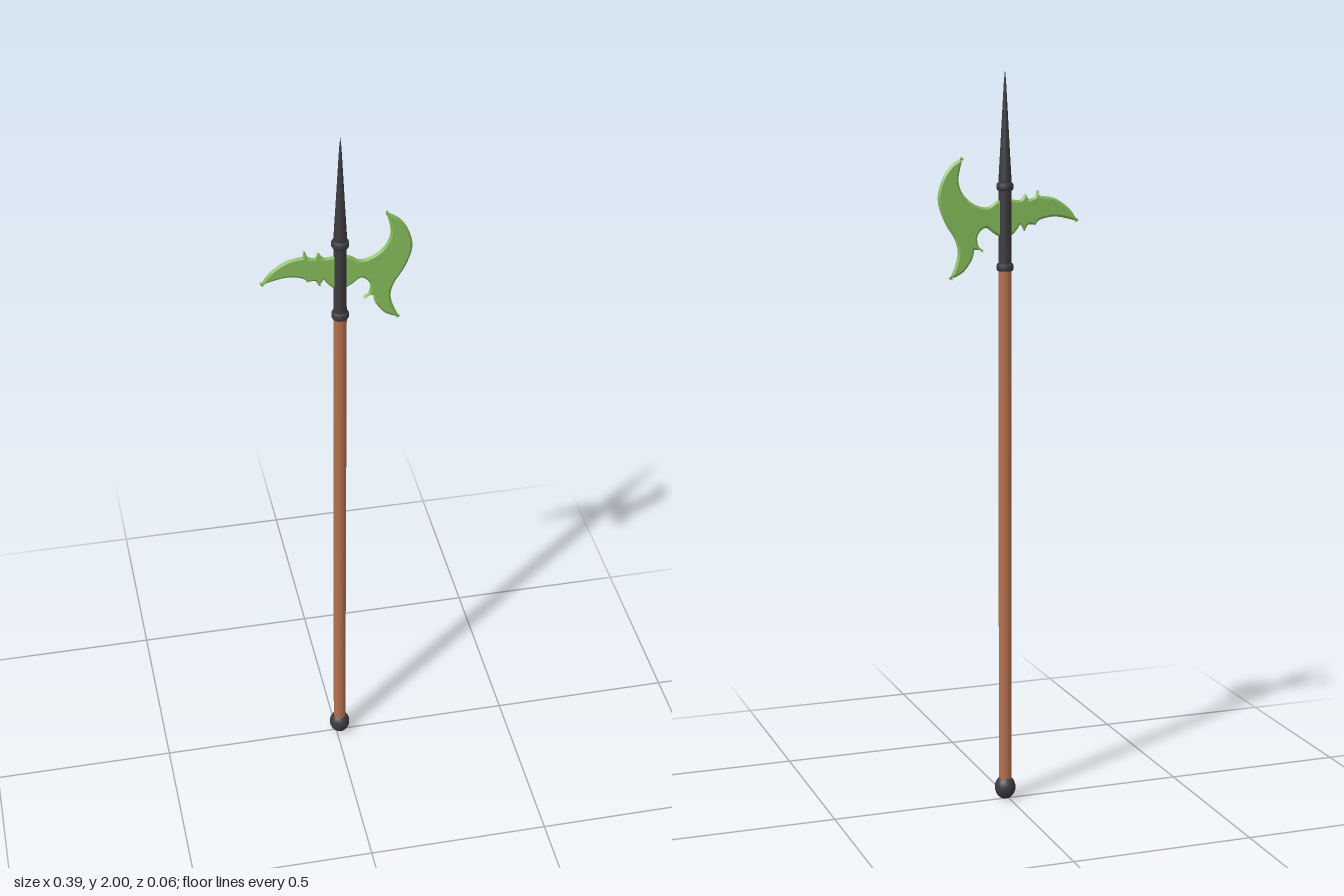
import * as THREE from 'three';

const AXIS = 0.01;
const V = (x, y) => new THREE.Vector2(x, y);
const dark = new THREE.MeshStandardMaterial({ color: 0x3c3c3e });
const wood = new THREE.MeshStandardMaterial({ color: 0xb4714c });
const green = new THREE.MeshStandardMaterial({ color: 0x86bd5b });

// Closed outline from smooth runs that meet at sharp corners
function outline(runs) {
  const shape = new THREE.Shape();
  shape.moveTo(...runs[0][0]);
  for (const run of runs) {
    const rest = run.slice(run === runs[0] ? 1 : 0).map(p => V(...p));
    if (rest.length === 1) shape.lineTo(rest[0].x, rest[0].y);
    else shape.splineThru(rest);
  }
  return shape;
}

export function createModel() {
  const group = new THREE.Group();
  const add = (name, geometry, material, x = 0, y = 0) => {
    const mesh = new THREE.Mesh(geometry, material);
    mesh.name = name;
    mesh.position.set(x, y, 0);
    group.add(mesh);
    return mesh;
  };
  const turned = (name, r1, r0, y0, y1, material) =>
    add(name, new THREE.CylinderGeometry(r1, r0, y1 - y0, 16), material, AXIS, (y0 + y1) / 2);

  // Pole and rounded foot
  turned('shaft', 0.0175, 0.0175, 0.04, 1.485, wood);
  add('pommel', new THREE.SphereGeometry(0.029, 16, 12), dark, AXIS, 0.0335).scale.y = 1.155;

  // Socket, its two collars and the spike
  turned('socket', 0.0165, 0.0175, 1.475, 1.7, dark);
  for (const [name, y] of [['lowerCollar', 1.483], ['upperCollar', 1.696]]) {
    const profile = [V(0.012, -0.011), V(0.02, -0.01), V(0.023, -0.005),
      V(0.023, 0.005), V(0.02, 0.01), V(0.012, 0.011)];
    add(name, new THREE.LatheGeometry(profile, 16), dark, AXIS, y);
  }
  const spike = [V(0.017, 1.7), V(0.0175, 1.715), V(0.0125, 1.8), V(0.007, 1.9), V(0.003, 1.97), V(0, 2)];
  add('spike', new THREE.LatheGeometry(spike, 12), dark, AXIS);

  // Crescent axe blade: top edge, long cutting edge, barbed inner edge
  const axe = outline([
    [[0.01, 1.665], [0.035, 1.658], [0.062, 1.643], [0.098, 1.653], [0.127, 1.68], [0.139, 1.718], [0.127, 1.775]],
    [[0.162, 1.752], [0.187, 1.712], [0.196, 1.662], [0.178, 1.607], [0.149, 1.558], [0.143, 1.515], [0.165, 1.455]],
    [[0.128, 1.473], [0.103, 1.505], [0.096, 1.532]],
    [[0.07, 1.529]],
    [[0.085, 1.543], [0.086, 1.57], [0.065, 1.588], [0.04, 1.572], [0.01, 1.555]],
  ]);
  // Curved rear beak with notched edges
  const beak = outline([
    [[0.01, 1.555], [-0.015, 1.572], [-0.033, 1.595]],
    [[-0.045, 1.576]],
    [[-0.055, 1.593], [-0.075, 1.592]],
    [[-0.09, 1.606], [-0.135, 1.612], [-0.196, 1.598]],
    [[-0.171, 1.633], [-0.13, 1.661], [-0.087, 1.669]],
    [[-0.08, 1.684]],
    [[-0.073, 1.667], [-0.056, 1.661]],
    [[-0.045, 1.676]],
    [[-0.03, 1.66], [0.01, 1.665]],
  ]);
  for (const [name, shape] of [['axeBlade', axe], ['rearBeak', beak]]) {
    const blade = new THREE.ExtrudeGeometry(shape, {
      depth: 0.001, curveSegments: 18, bevelEnabled: true, bevelSegments: 1,
      bevelThickness: 0.0045, bevelSize: 0.006, bevelOffset: -0.006,
    });
    blade.translate(0, 0, -0.0005);
    add(name, blade, green);
  }
  return group;
}
